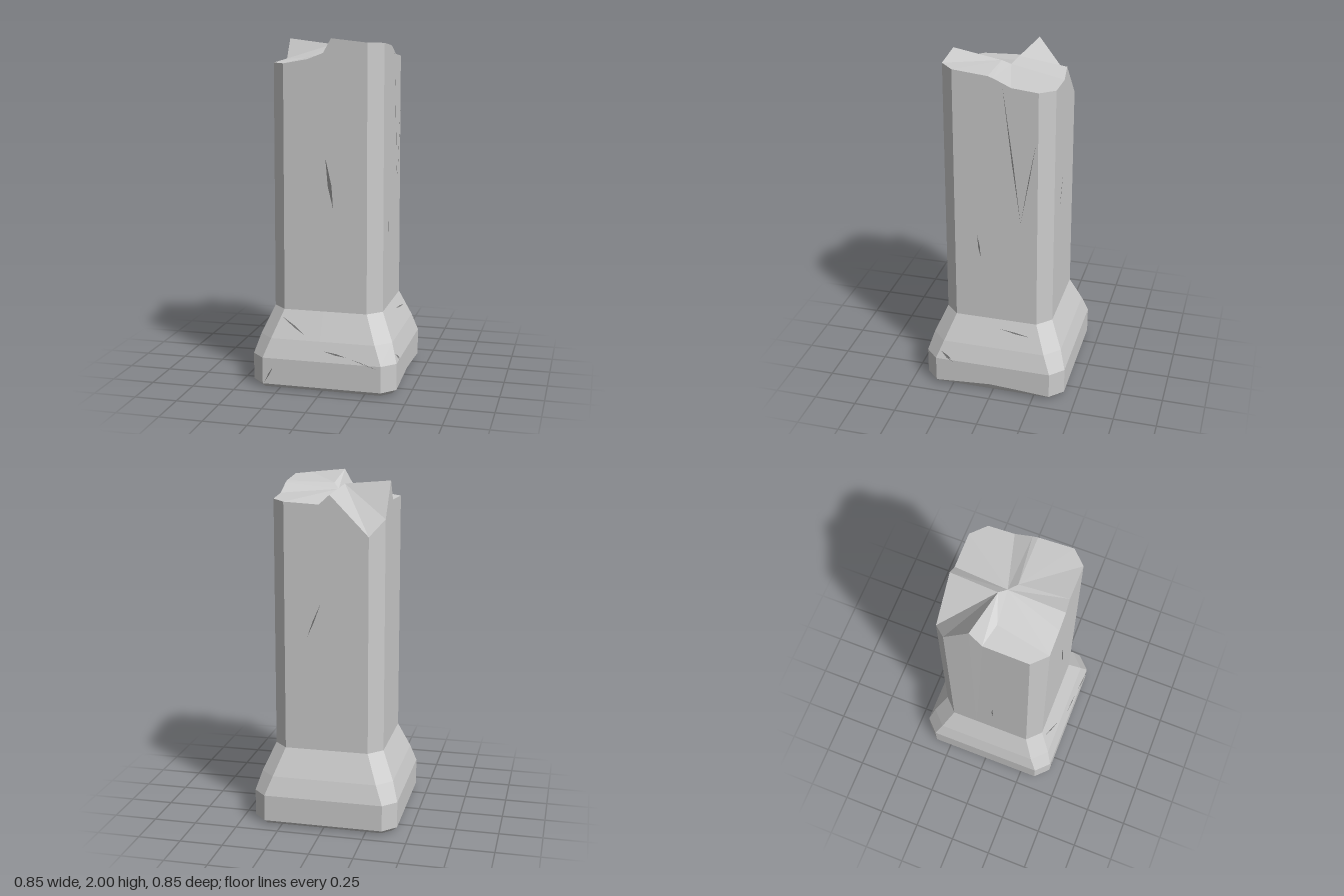
import * as THREE from 'three';

const grey = new THREE.MeshStandardMaterial({ color: 0xcccccc, flatShading: true });
const dark = new THREE.MeshStandardMaterial({ color: 0x777777, flatShading: true, side: THREE.DoubleSide });

const HALF = 0.318, CORNER = 0.24;

// Broken rim of the chamfered shaft, counter-clockwise from above: [x, y, z]
const rim = [
  [-0.24, 1.86, HALF], [-0.1, 1.885, HALF], [-0.01, 1.92, HALF], [0.035, 2, HALF], [CORNER, 1.978, HALF],
  [HALF, 1.975, CORNER], [HALF, 1.955, 0.04], [HALF, 1.945, 0.01], [HALF, 1.9, -0.09], [HALF, 1.885, -CORNER],
  [CORNER, 1.88, -HALF], [0.04, 1.87, -HALF], [-0.02, 1.925, -HALF], [-CORNER, 1.7, -HALF],
  [-HALF, 1.79, -CORNER], [-HALF, 1.985, -0.09], [-HALF, 1.87, -0.02], [-HALF, 1.86, CORNER],
];

// Inner points of the fracture
const hubs = { A: [-0.045, 1.955, -0.04], B: [0.035, 1.95, 0.04], C: [0, 1.92, -0.005], D: [-0.185, 1.88, 0.01] };

// Facets of the fracture, each a fan from its first point
const facets = [
  ['B', 3, 4, 5, 6, 7], ['C', 'B', 7], ['C', 7, 8, 9, 10, 11], ['C', 11, 12, 'A'], ['A', 12, 13],
  ['A', 13, 14, 15], ['A', 15, 16, 'D', 'C'], ['D', 16, 17, 0], ['C', 'D', 0, 1, 2], ['C', 2, 3, 'B'],
];

// Levels of the flared foot and the shaft: [y, half width, start of chamfer]
const levels = [
  [0, 0.395, 0.34], [0.025, 0.424, 0.348], [0.18, 0.424, 0.348],
  [0.29, 0.39, 0.305], [0.45, 0.321, 0.243],
];

// Fits the rim's plan to one level; the foot's lower edge is worn on the +x side
function ringAt([y, half, corner], level) {
  const fit = (c) => (Math.abs(c) > 0.3 ? Math.sign(c) * half : (c / CORNER) * corner);
  return rim.map(([x, , z]) => {
    const worn = level === 1 && x > 0.3 ? 0.025 * (1 - Math.abs(z) / CORNER) : 0;
    return [fit(x), y + worn, fit(z)];
  });
}

function solid(triangles, name, material) {
  const geometry = new THREE.BufferGeometry();
  geometry.setAttribute('position', new THREE.Float32BufferAttribute(triangles.flat(2), 3));
  geometry.computeVertexNormals();
  const mesh = new THREE.Mesh(geometry, material);
  mesh.name = name;
  return mesh;
}

function band(lower, upper) {
  return lower.flatMap((a, i) => {
    const j = (i + 1) % lower.length;
    return [[a, lower[j], upper[j]], [a, upper[j], upper[i]]];
  });
}

function fan(points) {
  return points.slice(2).map((p, i) => [points[0], points[i + 1], p]);
}

// Half width of the pillar at height y
function halfAt(y) {
  for (let i = 1; i < levels.length; i++) {
    const [y0, h0] = levels[i - 1], [y1, h1] = levels[i];
    if (y <= y1) return h0 + ((h1 - h0) * (y - y0)) / (y1 - y0);
  }
  return 0.321 - (0.003 * (y - 0.45)) / 1.5;
}

// Thin tapering crack on one side; u runs to the right as that side is faced
function crack(turn, u0, y0, u1, y1, width) {
  const length = Math.hypot(u1 - u0, y1 - y0);
  const du = (-(y1 - y0) / length) * width / 2, dy = ((u1 - u0) / length) * width / 2;
  const at = (u, y) => [u, y, halfAt(y) + 0.002];
  const mu = u0 + (u1 - u0) * 0.55, my = y0 + (y1 - y0) * 0.55;
  const outline = [at(u0, y0), at(mu - du, my - dy), at(u1, y1), at(mu + du, my + dy)];
  const mesh = solid(fan(outline), 'crack', dark);
  mesh.rotation.y = turn * Math.PI / 2;
  return mesh;
}

export function createModel() {
  const group = new THREE.Group();
  group.name = 'brokenPillar';
  const rings = levels.map(ringAt);

  // Flared foot with its underside
  const foot = fan([...rings[0]].reverse());
  for (let i = 0; i < 4; i++) foot.push(...band(rings[i], rings[i + 1]));
  group.add(solid(foot, 'foot', grey));

  // Chamfered shaft up to the jagged rim
  group.add(solid(band(rings[4], rim), 'shaft', grey));

  // Jagged fracture on top
  const point = (key) => (typeof key === 'string' ? hubs[key] : rim[key]);
  group.add(solid(facets.flatMap((f) => fan(f.map(point))), 'fracture', grey));

  // Cracks: side (0 front, 1 +x, 2 back, 3 -x), start, end, width
  const cracks = new THREE.Group();
  cracks.name = 'cracks';
  [
    [0, 0.002, 1.34, 0.047, 1.05, 0.022],
    [0, -0.25, 0.41, -0.11, 0.32, 0.01],
    [0, 0.01, 0.24, 0.145, 0.215, 0.01],
    [0, 0.17, 0.21, 0.33, 0.16, 0.006],
    [0, -0.34, 0.03, -0.285, 0.13, 0.008],
    [1, 0.04, 1.92, 0.145, 1.1, 0.008],
    [1, 0.145, 1.1, 0.23, 1.6, 0.005],
    [1, -0.11, 1, -0.09, 0.85, 0.01],
    [1, 0.02, 0.4, 0.215, 0.375, 0.008],
    [1, -0.32, 0.23, -0.24, 0.17, 0.016],
    [2, -0.03, 1.32, -0.11, 1.12, 0.008],
    [3, 0.02, 0.85, 0.02, 0.68, 0.008],
  ].forEach((c) => cracks.add(crack(...c)));
  group.add(cracks);

  return group;
}
